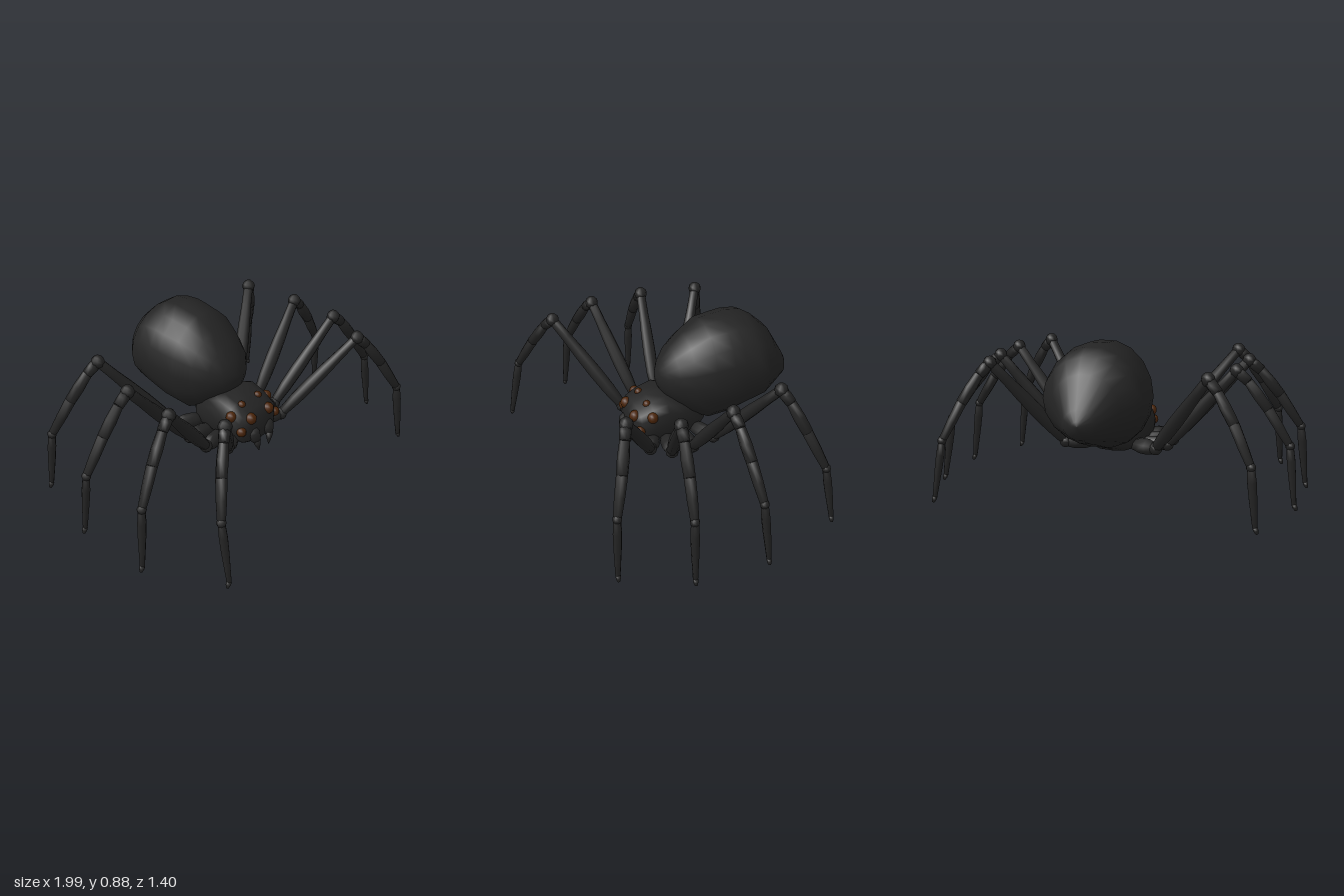
import * as THREE from 'three';

const shell = new THREE.MeshStandardMaterial({ color: 0x232323 });
shell.name = 'black shell';
const amber = new THREE.MeshStandardMaterial({ color: 0x4a2408 });
amber.name = 'dark amber';

const V = (p) => new THREE.Vector3(...p);

function add(parent, geometry, material, name) {
  const mesh = new THREE.Mesh(geometry, material);
  mesh.name = name;
  parent.add(mesh);
  return mesh;
}

// Skin over rings [z, top, bottom, halfWidth] ordered front to back; power < 1 makes them boxier
function loft(rings, sides, power) {
  const pos = [], index = [];
  const bend = (v) => Math.sign(v) * Math.abs(v) ** power;
  rings.forEach(([z, top, bottom, w], i) => {
    for (let j = 0; j < sides; j++) {
      const a = (j / sides) * Math.PI * 2;
      pos.push(w * bend(Math.cos(a)), (top + bottom) / 2 + ((top - bottom) / 2) * bend(Math.sin(a)), z);
      if (i === rings.length - 1) continue;
      const k = (j + 1) % sides, r = i * sides, s = r + sides;
      index.push(r + j, s + j, r + k, r + k, s + j, s + k);
    }
  });
  const g = new THREE.BufferGeometry();
  g.setAttribute('position', new THREE.Float32BufferAttribute(pos, 3));
  g.setIndex(index);
  g.computeVertexNormals();
  return g;
}

// Turned segment from a to b; radii are spread evenly along it and both ends are closed
function segment(parent, name, a, b, radii) {
  const dir = b.clone().sub(a), len = dir.length();
  const profile = radii.map((r, i) => new THREE.Vector2(r, (len * i) / (radii.length - 1)));
  profile.unshift(new THREE.Vector2(0, 0));
  profile.push(new THREE.Vector2(0, len));
  const mesh = add(parent, new THREE.LatheGeometry(profile, 8), shell, name);
  mesh.position.copy(a);
  mesh.quaternion.setFromUnitVectors(new THREE.Vector3(0, 1, 0), dir.normalize());
  return mesh;
}

function leg(name, hip, trochanter, knee, ankle, foot) {
  const g = new THREE.Group();
  g.name = name;
  const [h, t, k, a, f] = [hip, trochanter, knee, ankle, foot].map(V);
  // The kneecap carries the leg over the top before the shin drops
  const shinTop = k.clone().lerp(a, 0.2).add(new THREE.Vector3(Math.sign(k.x) * 0.006, 0.02, 0));
  const shinMid = k.clone().lerp(a, 0.55).add(new THREE.Vector3(Math.sign(k.x) * 0.012, 0.014, 0));
  const claw = f.clone().add(new THREE.Vector3(Math.sign(f.x) * 0.012, -0.002, 0));
  const heel = f.clone().add(new THREE.Vector3(0, 0.03, 0));
  segment(g, 'coxa', h, t, [0.03, 0.042, 0.042, 0.03]);
  const joint = add(g, new THREE.SphereGeometry(0.036, 8, 6), shell, 'hipJoint');
  joint.position.copy(t);
  segment(g, 'femur', t, k, [0.026, 0.035, 0.037, 0.034, 0.028, 0.026]);
  const cap = add(g, new THREE.SphereGeometry(0.037, 8, 6), shell, 'kneeJoint');
  cap.position.copy(k);
  segment(g, 'kneecap', k, shinTop, [0.028, 0.03, 0.028]);
  segment(g, 'upperShin', shinTop, shinMid, [0.026, 0.031, 0.029]);
  segment(g, 'lowerShin', shinMid, a, [0.029, 0.027, 0.021]);
  const ankleJoint = add(g, new THREE.SphereGeometry(0.025, 8, 6), shell, 'ankleJoint');
  ankleJoint.position.copy(a);
  segment(g, 'shank', a, heel, [0.019, 0.023, 0.021, 0.017, 0.013]);
  segment(g, 'claw', heel, claw, [0.014, 0.013, 0.007]);
  return g;
}

export function createModel() {
  const model = new THREE.Group();
  model.name = 'spider';

  // Large egg-shaped abdomen with a blunt pointed rear
  add(model, loft([
    [0.057, 0.58, 0.58, 0], [0.05, 0.63, 0.53, 0.05], [0.025, 0.68, 0.48, 0.1],
    [-0.025, 0.745, 0.43, 0.155], [-0.1, 0.81, 0.36, 0.205], [-0.2, 0.878, 0.308, 0.245],
    [-0.3, 0.89, 0.322, 0.257], [-0.36, 0.896, 0.34, 0.258], [-0.44, 0.884, 0.37, 0.258],
    [-0.5, 0.845, 0.393, 0.25], [-0.575, 0.775, 0.42, 0.18], [-0.667, 0.615, 0.463, 0.085],
    [-0.693, 0.565, 0.51, 0.03], [-0.698, 0.54, 0.54, 0],
  ], 18, 1), shell, 'abdomen');

  // Boxy head and thorax
  add(model, loft([
    [0.228, 0.34, 0.34, 0], [0.222, 0.41, 0.275, 0.1], [0.19, 0.455, 0.257, 0.15],
    [0.12, 0.49, 0.25, 0.166], [0.04, 0.515, 0.25, 0.17], [-0.05, 0.48, 0.25, 0.165],
    [-0.14, 0.42, 0.262, 0.13], [-0.2, 0.38, 0.29, 0.07], [-0.21, 0.335, 0.335, 0],
  ], 16, 0.7), shell, 'headThorax');

  // Eyes and fangs, mirrored: [x, y, z, radius]
  const eyes = [
    [0.07, 0.417, 0.205, 0.032], [0.136, 0.36, 0.197, 0.027],
    [0.142, 0.43, 0.13, 0.03], [0.065, 0.472, 0.135, 0.022],
  ];
  for (const s of [1, -1]) {
    for (const [x, y, z, r] of eyes) {
      const eye = add(model, new THREE.SphereGeometry(r, 10, 8), amber, 'eye');
      eye.position.set(s * x, y, z);
    }
    segment(model, 'jaw', V([s * 0.06, 0.345, 0.2]), V([s * 0.052, 0.275, 0.232]), [0.03, 0.04, 0.034, 0.022]);
    segment(model, 'fang', V([s * 0.052, 0.285, 0.232]), V([s * 0.04, 0.215, 0.24]), [0.024, 0.015, 0.002]);
  }

  // Hips and trochanters are mirrored, while each side has its own stance
  const roots = [
    [[0.12, 0.29, 0.12], [0.22, 0.295, 0.175]],
    [[0.12, 0.285, 0.05], [0.28, 0.29, 0.075]],
    [[0.12, 0.285, -0.03], [0.28, 0.295, -0.045]],
    [[0.11, 0.3, -0.11], [0.25, 0.305, -0.175]],
  ];
  // [knee, ankle, foot] from front to back
  const left = [
    [[0.55, 0.73, 0.42], [0.78, 0.365, 0.555], [0.815, 0.012, 0.572]],
    [[0.655, 0.73, 0.18], [0.935, 0.365, 0.22], [0.978, 0.012, 0.23]],
    [[0.65, 0.735, -0.095], [0.935, 0.365, -0.145], [0.975, 0.012, -0.168]],
    [[0.585, 0.755, -0.385], [0.79, 0.365, -0.56], [0.825, 0.04, -0.597]],
  ];
  const right = [
    [[-0.555, 0.73, 0.46], [-0.765, 0.365, 0.625], [-0.778, 0.012, 0.685]],
    [[-0.665, 0.73, 0.195], [-0.945, 0.365, 0.275], [-0.978, 0.012, 0.293]],
    [[-0.655, 0.735, -0.1], [-0.945, 0.365, -0.12], [-0.978, 0.025, -0.125]],
    [[-0.575, 0.75, -0.405], [-0.82, 0.365, -0.53], [-0.85, 0.035, -0.538]],
  ];
  roots.forEach(([hip, tro], i) => {
    model.add(leg('leftLeg' + (i + 1), hip, tro, ...left[i]));
    const flip = ([x, y, z]) => [-x, y, z];
    model.add(leg('rightLeg' + (i + 1), flip(hip), flip(tro), ...right[i]));
  });
  return model;
}
